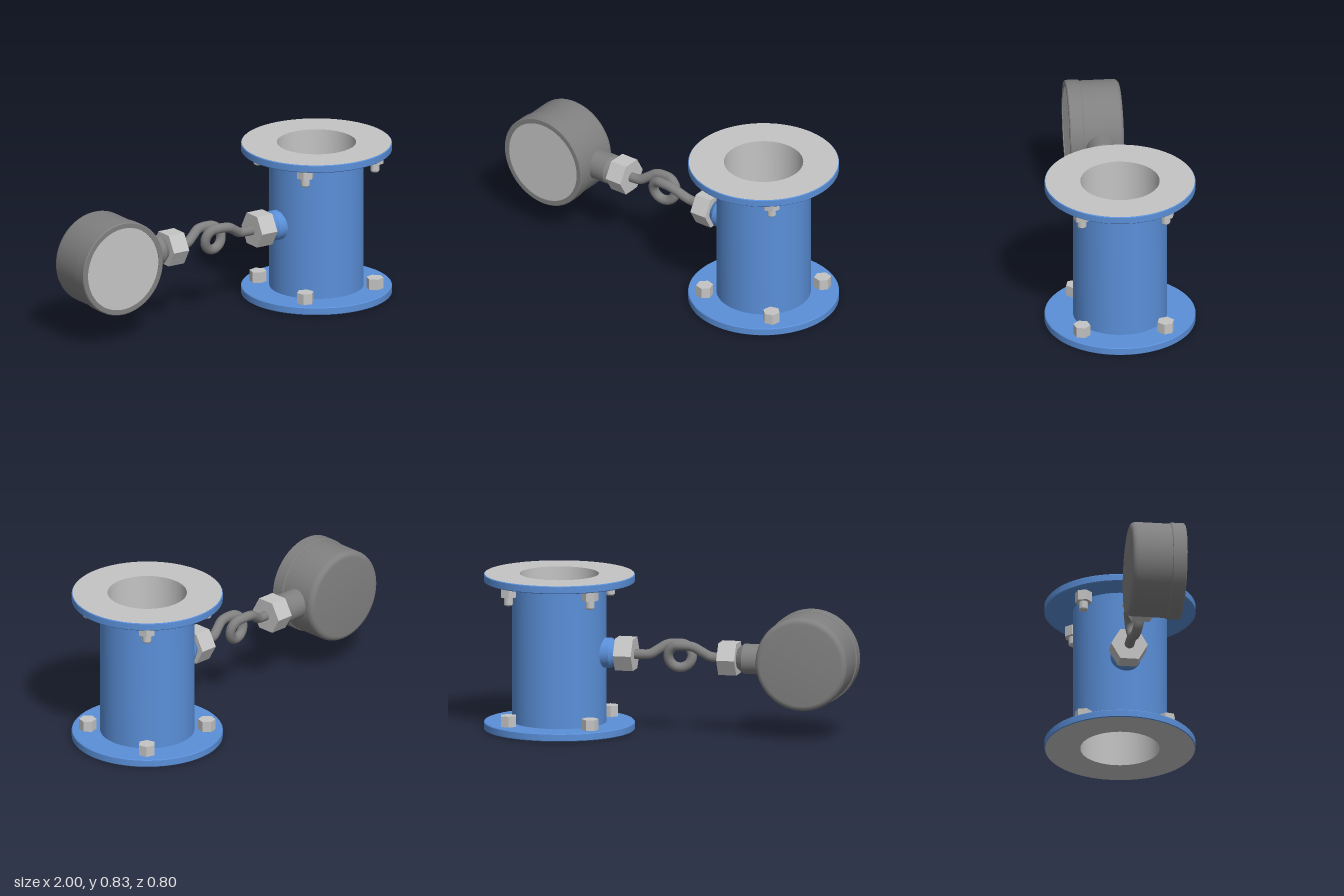
import * as THREE from 'three';
import { toCreasedNormals } from 'three/addons/utils/BufferGeometryUtils.js';

const blue = new THREE.MeshStandardMaterial({ color: 0x5a8fd8 });
blue.name = 'blue paint';
const steel = new THREE.MeshStandardMaterial({ color: 0xc4c4c4 });
steel.name = 'light steel';
const grey = new THREE.MeshStandardMaterial({ color: 0x808080 });
grey.name = 'dark grey';

// Revolved part; profile runs counter-clockwise as [radius, height]
function lathe(profile, segments = 72) {
  const points = profile.map(([r, y]) => new THREE.Vector2(r, y));
  return toCreasedNormals(new THREE.LatheGeometry(points, segments), 0.5);
}

function hex(radius, height) {
  return toCreasedNormals(new THREE.CylinderGeometry(radius, radius, height, 6), 0.5);
}

function add(parent, name, geometry, material, x = 0, y = 0, z = 0) {
  const mesh = new THREE.Mesh(geometry, material);
  mesh.name = name;
  mesh.position.set(x, y, z);
  parent.add(mesh);
  return mesh;
}

const alongX = (geometry) => geometry.rotateZ(-Math.PI / 2);
const alongZ = (geometry) => geometry.rotateX(Math.PI / 2);

function createSpool() {
  const spool = new THREE.Group();
  spool.name = 'flangedPipe';
  spool.position.x = 0.6;
  const R = 0.4, bore = 0.21, H = 0.835, t = 0.042, c = 0.004;

  // Painted outside: flange rims, flange backs and pipe wall
  add(spool, 'pipeBody', lathe([
    [R - c, 0], [R, c], [R, t - c], [R - c, t], [0.25, t],
    [0.25, H - t], [R - c, H - t], [R, H - t + c], [R, H - c], [R - c, H],
  ], 96), blue);
  // Bare metal sealing faces and bore
  add(spool, 'sealingFacesAndBore', lathe([
    [R - c, H], [bore, H], [bore, 0], [R - c, 0],
  ], 96), steel);

  // Four bolts around each flange
  for (let i = 0; i < 4; i++) {
    const a = Math.PI / 4 + i * Math.PI / 2;
    const bolt = new THREE.Group();
    bolt.name = 'bolt' + (i + 1);
    bolt.position.set(Math.sin(a) * 0.315, 0, Math.cos(a) * 0.315);
    bolt.rotation.y = a;
    add(bolt, 'lowerBoltHead', hex(0.046, 0.058), steel, 0, 0.071);
    add(bolt, 'upperNut', hex(0.046, 0.058), steel, 0, 0.766);
    add(bolt, 'stud', lathe([[0, 0.69], [0.019, 0.69], [0.024, 0.697], [0.024, 0.75]], 24), steel);
    spool.add(bolt);
  }

  // Threaded boss for the gauge line
  add(spool, 'sideBoss', alongX(lathe([
    [0, -0.32], [0.055, -0.32], [0.08, -0.285], [0.08, -0.22],
  ], 48)), blue, 0, 0.42);
  return spool;
}

function createGauge() {
  const gauge = new THREE.Group();
  gauge.name = 'gauge';
  gauge.position.set(-0.745, 0.42, 0);

  // Case with a rounded back edge
  const profile = [[0, -0.125]];
  for (let i = 0; i <= 6; i++) {
    const a = (i / 6) * Math.PI / 2;
    profile.push([0.22 + 0.03 * Math.sin(a), -0.095 - 0.03 * Math.cos(a)]);
  }
  profile.push([0.25, 0.09]);
  add(gauge, 'case', alongZ(lathe(profile)), grey);
  add(gauge, 'bezel', alongZ(lathe([
    [0.245, 0.087], [0.252, 0.087], [0.256, 0.091], [0.256, 0.159],
    [0.251, 0.164], [0.226, 0.164], [0.226, 0.155],
  ])), grey);
  add(gauge, 'dialFace', alongZ(lathe([[0.228, 0.16], [0, 0.16]])), steel);

  // Stem pointing towards the pipe
  add(gauge, 'stem', alongX(lathe([
    [0.08, 0.15], [0.08, 0.335], [0.052, 0.372], [0, 0.372],
  ], 48)), grey);
  return gauge;
}

// Tube that makes one full coil between the two nuts
function createCoil() {
  const cx = -0.06, cy = 0.42, r = 0.061;
  const points = [
    [-0.33, 0.42, 0], [-0.27, 0.42, 0], [-0.225, 0.424, -0.003],
    [-0.18, 0.45, -0.018], [-0.135, 0.477, -0.033],
  ];
  for (let i = 0; i <= 16; i++) {
    const u = i / 16, a = u * Math.PI * 2;
    points.push([cx + r * Math.sin(a), cy + r * Math.cos(a), -0.036 + 0.068 * u]);
  }
  points.push(
    [0.015, 0.475, 0.031], [0.06, 0.45, 0.018],
    [0.105, 0.424, 0.003], [0.15, 0.42, 0], [0.24, 0.42, 0],
  );
  const path = new THREE.CatmullRomCurve3(points.map((p) => new THREE.Vector3(...p)));
  return new THREE.TubeGeometry(path, 160, 0.026, 20);
}

export function createModel() {
  const model = new THREE.Group();
  model.name = 'pipeWithGauge';
  model.add(createSpool(), createGauge());
  add(model, 'coiledTube', createCoil(), grey);
  add(model, 'pipeSideNut', alongX(hex(0.098, 0.098)), steel, 0.236, 0.42);
  add(model, 'gaugeSideNut', alongX(hex(0.098, 0.098)), steel, -0.328, 0.42);
  return model;
}
